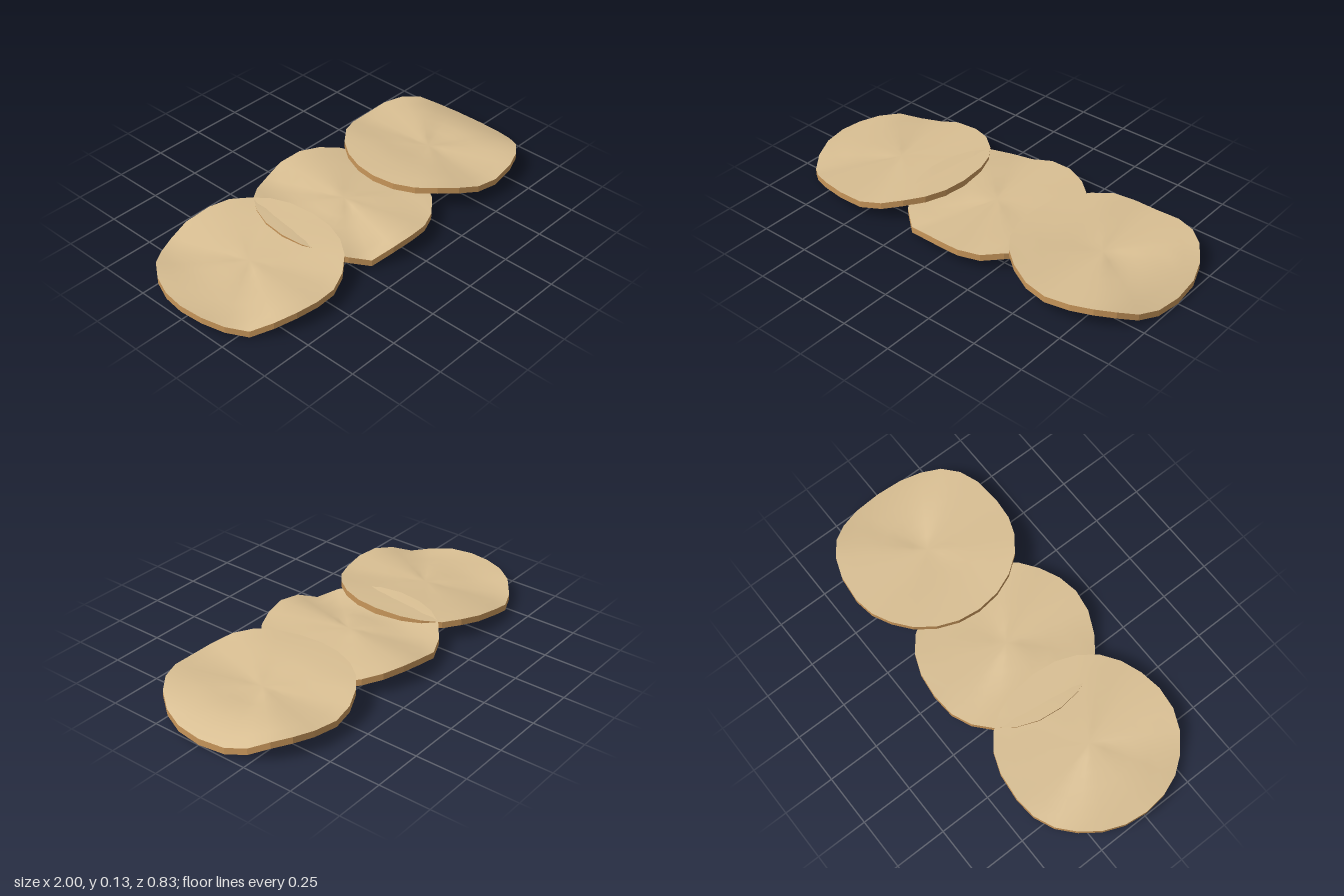
import * as THREE from 'three';

const RADIUS_X = 0.4, RADIUS_Z = 0.413;
const THICKNESS = 0.032;
const SIDES = 24, RINGS = 6;

// Ripple heights along the back and front rims, evenly spaced from left to right;
// corners: outline squareness at back left, back right, front left, front right
const slices = [
  {
    name: 'leftmostSlice', x: -0.6, corners: [2, 2.4, 2.1, 2.1],
    back: [0.075, 0.082, 0.05, 0.05, 0.078, 0.092, 0.108, 0.104, 0.115],
    front: [0.075, 0.034, 0.075, 0.093, 0.09, 0.079, 0.09, 0.112, 0.115],
  },
  {
    name: 'middleSlice', x: 0, corners: [2.1, 2.2, 2.05, 2],
    back: [0.11, 0.108, 0.078, 0.068, 0.098, 0.11, 0.104, 0.086, 0.055],
    front: [0.11, 0.082, 0.044, 0.09, 0.1, 0.088, 0.08, 0.094, 0.055],
  },
  {
    name: 'rightmostSlice', x: 0.6, corners: [2, 2.4, 2.1, 2.3],
    back: [0.118, 0.118, 0.118, 0.096, 0.085, 0.096, 0.108, 0.095, 0.032],
    front: [0.118, 0.134, 0.122, 0.098, 0.09, 0.1, 0.107, 0.09, 0.032],
  },
];

// Height of a rim profile at x, measured from the slice centre
function heightAt(profile, x) {
  const u = (x / RADIUS_X + 1) / 2 * (profile.length - 1);
  const i = THREE.MathUtils.clamp(Math.floor(u), 0, profile.length - 2);
  return THREE.MathUtils.lerp(profile[i], profile[i + 1], u - i);
}

function cornerAt(corners, x, z) {
  return corners[(z < 0 ? 0 : 2) + (x < 0 ? 0 : 1)];
}

// Rounded-square outline, clockwise from above
function rimPoints({ corners, back, front }) {
  return Array.from({ length: SIDES }, (_, i) => {
    const angle = i / SIDES * Math.PI * 2;
    const c = Math.cos(angle), s = Math.sin(angle);
    const power = 2 / cornerAt(corners, c, s);
    const x = Math.sign(c) * Math.abs(c) ** power * RADIUS_X;
    const z = Math.sign(s) * Math.abs(s) ** power * RADIUS_Z;
    return new THREE.Vector3(x, heightAt(z < 0 ? back : front, x), z);
  });
}

// Height of the surface stretched straight from the back rim to the front rim
function ruledHeight({ corners, back, front }, x, z) {
  const p = cornerAt(corners, x, z);
  const depth = RADIUS_Z * (1 - Math.abs(x / RADIUS_X) ** p) ** (1 / p);
  return THREE.MathUtils.lerp(heightAt(back, x), heightAt(front, x), 0.5 + z / depth / 2);
}

function meshFrom(name, positions, index, color, flatShading = false) {
  const geometry = new THREE.BufferGeometry();
  geometry.setAttribute('position', new THREE.Float32BufferAttribute(positions, 3));
  geometry.setIndex(index);
  geometry.computeVertexNormals();
  const mesh = new THREE.Mesh(geometry, new THREE.MeshStandardMaterial({ color, flatShading }));
  mesh.name = name;
  return mesh;
}

function createSlice(spec) {
  const slice = new THREE.Group();
  slice.name = spec.name;
  slice.position.x = spec.x;
  const rim = rimPoints(spec);
  const middle = ruledHeight(spec, 0, 0);

  // Rippled top: rings from the centre to the rim, with ridges running front to back
  const top = [0, middle, 0], topIndex = [];
  for (let r = 1; r <= RINGS; r++) {
    const s = r / RINGS;
    rim.forEach((point, i) => {
      const x = point.x * s, z = point.z * s;
      let y = THREE.MathUtils.lerp(middle, point.y, s);
      if (r < RINGS) y += (ruledHeight(spec, x, z) - y) * Math.min(0.5, s);
      top.push(x, y, z);
      const j = (i + 1) % SIDES, a = 1 + (r - 1) * SIDES, b = a - SIDES;
      if (r === 1) topIndex.push(0, 1 + j, 1 + i);
      else topIndex.push(b + i, a + j, a + i, b + i, b + j, a + j);
    });
  }
  slice.add(meshFrom('topFace', top, topIndex, 0xd8be92));

  // Underside fan and browned band around the edge
  const under = [0, middle - 0.042, 0], underIndex = [];
  const band = [], bandIndex = [];
  rim.forEach(({ x, y, z }, i) => {
    const j = (i + 1) % SIDES;
    under.push(x, y - THICKNESS, z);
    underIndex.push(0, 1 + i, 1 + j);
    band.push(x, y, z, x, y - THICKNESS, z);
    bandIndex.push(2 * i, 2 * j, 2 * i + 1, 2 * j, 2 * j + 1, 2 * i + 1);
  });
  slice.add(meshFrom('underside', under, underIndex, 0xd8be92));
  slice.add(meshFrom('edge', band, bandIndex, 0xc8965a, true));
  return slice;
}

export function createModel() {
  const model = new THREE.Group();
  model.name = 'overlappingSlices';
  slices.forEach((spec) => model.add(createSlice(spec)));
  return model;
}
